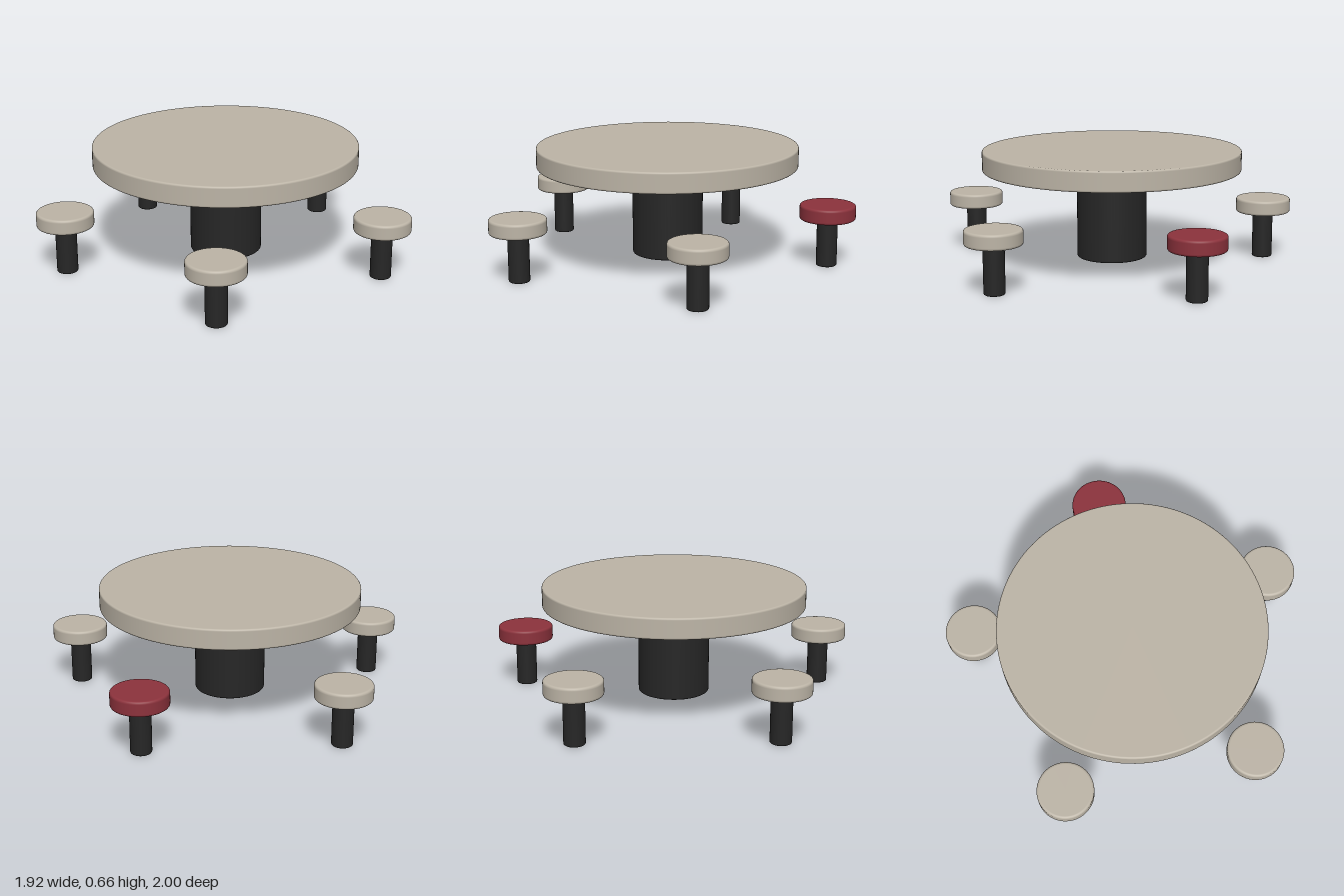
import * as THREE from 'three';

const cream = new THREE.MeshStandardMaterial({ color: 0xbcb4a6 });
const black = new THREE.MeshStandardMaterial({ color: 0x262626 });
const red = new THREE.MeshStandardMaterial({ color: 0x8c323c });

// Upright disc or post with rounded rims; extra points beside each rim keep the flats flat.
function roundedDisc(name, radius, bottom, top, bevel, material, segments) {
  const points = [new THREE.Vector2(0, bottom), new THREE.Vector2(radius - bevel * 1.2, bottom)];
  const steps = 4;
  for (const [centreY, start] of [[bottom + bevel, -Math.PI / 2], [top - bevel, 0]]) {
    for (let i = 0; i <= steps; i++) {
      const a = start + (i / steps) * Math.PI / 2;
      points.push(new THREE.Vector2(radius - bevel + bevel * Math.cos(a), centreY + bevel * Math.sin(a)));
    }
    // support points on the side wall
    if (start < 0) {
      points.push(new THREE.Vector2(radius, bottom + bevel * 1.2));
      points.push(new THREE.Vector2(radius, top - bevel * 1.2));
    }
  }
  points.push(new THREE.Vector2(radius - bevel * 1.2, top), new THREE.Vector2(0, top));
  const mesh = new THREE.Mesh(new THREE.LatheGeometry(points, segments), material);
  mesh.name = name;
  return mesh;
}

function createStool(seatMaterial) {
  const stool = new THREE.Group();
  stool.add(
    roundedDisc('stoolSeat', 0.154, 0.264, 0.347, 0.012, seatMaterial, 64),
    roundedDisc('stoolPost', 0.057, 0, 0.27, 0.008, black, 40)
  );
  return stool;
}

export function createModel() {
  const model = new THREE.Group();
  model.name = 'roundTableWithStools';
  const centreX = -0.087;

  // Table
  const table = new THREE.Group();
  table.name = 'table';
  table.position.x = centreX;
  table.add(
    roundedDisc('tableTop', 0.723, 0.545, 0.657, 0.009, cream, 128),
    roundedDisc('tablePedestal', 0.196, 0.045, 0.55, 0.009, black, 64)
  );
  model.add(table);

  // Five stools evenly around the table, the first one red
  const ringRadius = 0.889;
  for (let i = 0; i < 5; i++) {
    const angle = (i / 5) * Math.PI * 2;
    const stool = createStool(i === 0 ? red : cream);
    stool.name = i === 0 ? 'redStool' : `stool${i}`;
    stool.position.set(centreX + ringRadius * Math.cos(angle), 0, ringRadius * Math.sin(angle));
    model.add(stool);
  }
  return model;
}
